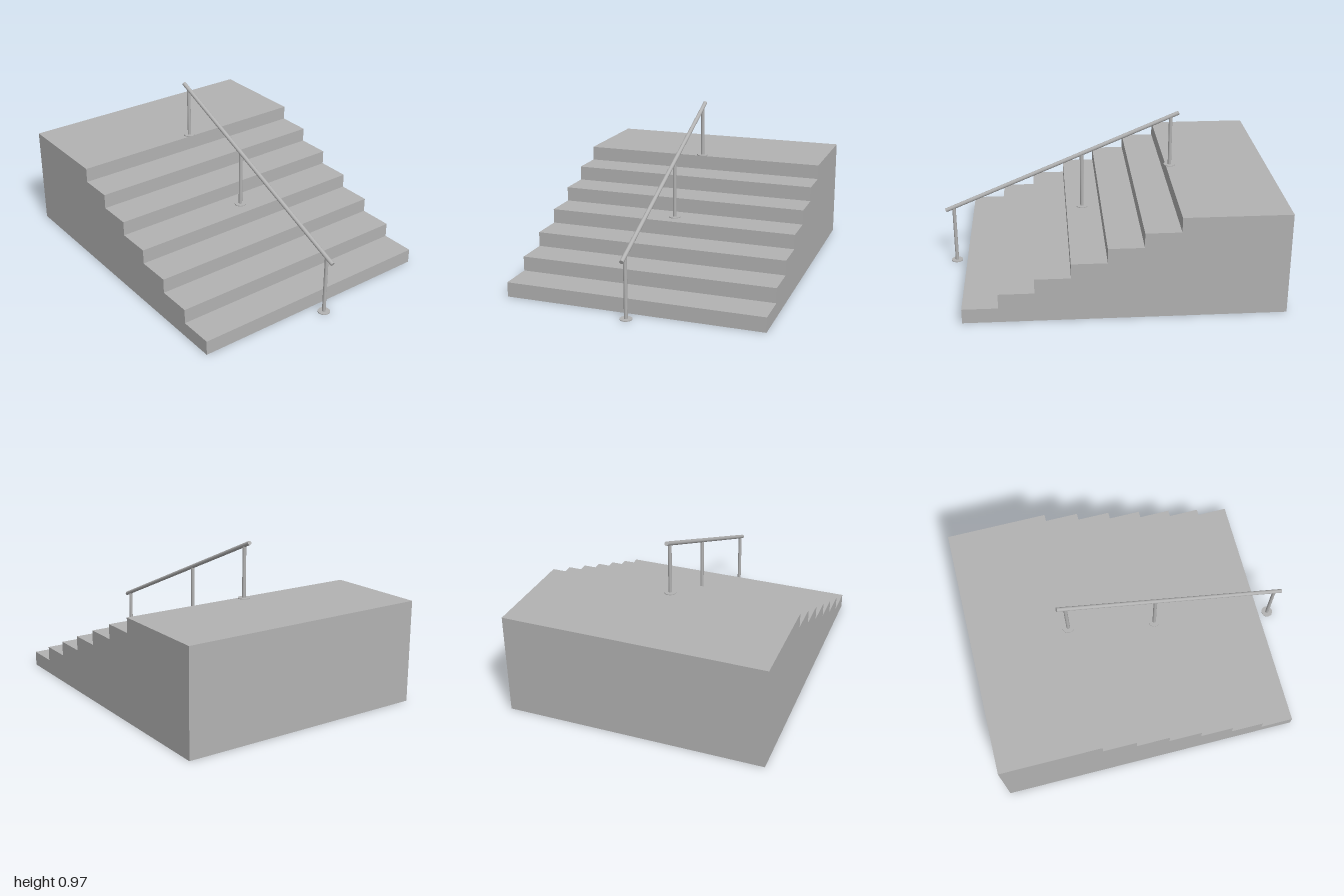
import * as THREE from 'three';

const HALF_W = 0.777, STEPS = 7, RISE = 0.62 / STEPS, RUN = 0.207, FRONT = 0.865, BACK = -1;

export function createModel() {
  const model = new THREE.Group();
  const concrete = new THREE.MeshStandardMaterial({ color: 0xb2b2b2, side: THREE.DoubleSide });
  concrete.name = 'grey';

  const add = (parent, name, geometry, x, y, z) => {
    const mesh = new THREE.Mesh(geometry, concrete);
    mesh.name = name;
    mesh.position.set(x, y, z);
    parent.add(mesh);
    return mesh;
  };

  // Hollow staircase, open underneath: each riser wall reaches the ground
  const stairs = new THREE.Group();
  stairs.name = 'stairs';
  model.add(stairs);
  const outline = new THREE.Shape();
  outline.moveTo(-FRONT, 0);
  for (let i = 0; i < STEPS; i++) {
    const z = FRONT - i * RUN;
    const zEnd = i === STEPS - 1 ? BACK : z - RUN;
    const h = (i + 1) * RISE;
    outline.lineTo(-z, h);
    outline.lineTo(-zEnd, h);
    add(stairs, 'riser', new THREE.PlaneGeometry(HALF_W * 2, h), 0, h / 2, z);
    add(stairs, 'tread', new THREE.PlaneGeometry(HALF_W * 2, z - zEnd).rotateX(-Math.PI / 2), 0, h, (z + zEnd) / 2);
  }
  outline.lineTo(-BACK, 0);
  outline.closePath();

  // Stepped side walls and the back wall
  for (const s of [-1, 1]) {
    const side = new THREE.ShapeGeometry(outline).rotateY(Math.PI / 2);
    if (s < 0) {
      // reverse the faces so the left and right walls both face outwards
      side.setIndex(Array.from(side.index.array).reverse());
      side.computeVertexNormals();
    }
    add(stairs, 'sideWall', side, s * HALF_W, 0, 0);
  }
  const top = STEPS * RISE;
  add(stairs, 'backWall', new THREE.PlaneGeometry(HALF_W * 2, top).rotateY(Math.PI), 0, top / 2, BACK);

  // Sloping handrail
  const railing = new THREE.Group();
  railing.name = 'railing';
  model.add(railing);
  const low = new THREE.Vector3(0, 0.35, 0.995), high = new THREE.Vector3(0, 0.96, -0.452);
  const dir = high.clone().sub(low);
  const rail = add(railing, 'handrail', new THREE.CylinderGeometry(0.0125, 0.0125, dir.length(), 20), 0, 0, 0);
  rail.position.copy(low).add(high).multiplyScalar(0.5);
  rail.quaternion.setFromUnitVectors(new THREE.Vector3(0, 1, 0), dir.normalize());

  // Posts with round foot plates, running up into the rail
  for (const [z, base] of [[0.945, 0], [0.145, 4 * RISE], [-0.402, top]]) {
    const yTop = low.y + (low.z - z) * (high.y - low.y) / (low.z - high.z);
    add(railing, 'post', new THREE.CylinderGeometry(0.011, 0.011, yTop - base, 20), 0, (yTop + base) / 2, z);
    add(railing, 'footPlate', new THREE.CylinderGeometry(0.036, 0.036, 0.005, 24), 0, base + 0.0025, z);
  }
  return model;
}
